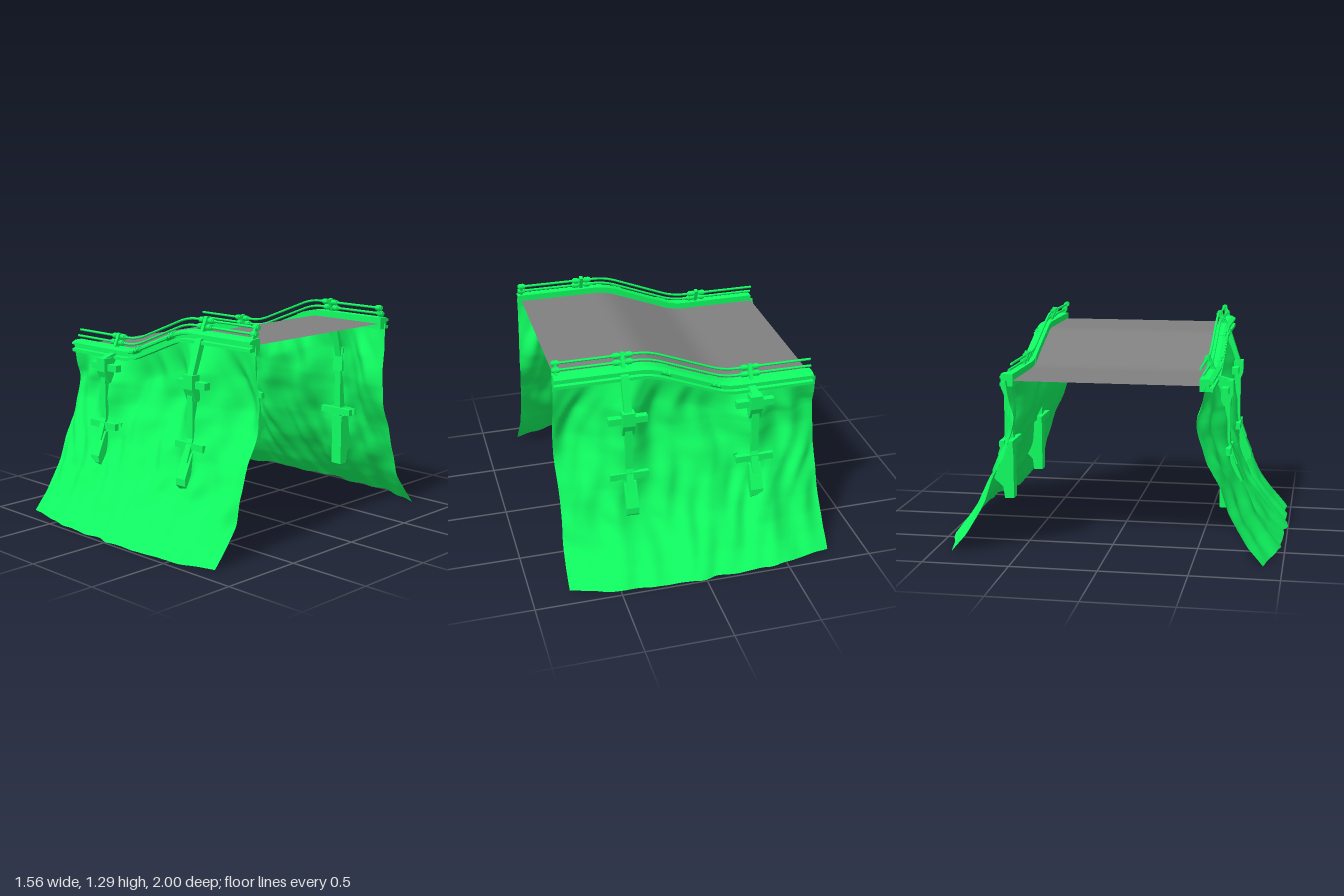
import * as THREE from 'three';

const green = new THREE.MeshStandardMaterial({ color: 0x10ff62 });
const rock = new THREE.MeshStandardMaterial({ color: 0x10ff62, side: THREE.DoubleSide });
const grey = new THREE.MeshStandardMaterial({ color: 0x808080, side: THREE.DoubleSide });

// Height of the ramp above its low end: flat, sloped, flat, with rounded bends
const soft = (x, e = 0.07) => (x < -e ? 0 : x > e ? x : (x + e) ** 2 / (4 * e));
const rise = (x) => 0.398 * (soft(x + 0.22) - soft(x - 0.22));

function mapVertices(geo, fn) {
  const p = geo.attributes.position;
  const v = new THREE.Vector3();
  for (let i = 0; i < p.count; i++) {
    fn(v.fromBufferAttribute(p, i));
    p.setXYZ(i, v.x, v.y, v.z);
  }
  geo.computeVertexNormals();
  return geo;
}
const bend = (geo) => mapVertices(geo, (v) => { v.y += rise(v.x); });

function add(parent, name, geo, material = green) {
  const mesh = new THREE.Mesh(geo, material);
  mesh.name = name;
  parent.add(mesh);
}

// Prism along x from a [z, y] outline
function prism(outline, x0, x1, steps = 1) {
  const shape = new THREE.Shape(outline.map(([z, y]) => new THREE.Vector2(-z, y)));
  const geo = new THREE.ExtrudeGeometry(shape, { depth: x1 - x0, steps, bevelEnabled: false });
  return geo.rotateY(Math.PI / 2).translate(x0, 0, 0);
}

function box(x, y, z, w, h, d) {
  return new THREE.BoxGeometry(w, h, d).translate(x, y, z);
}

function rod(r, x0, x1, y, z, segments = 1) {
  return new THREE.CylinderGeometry(r, r, x1 - x0, 10, segments)
    .rotateZ(Math.PI / 2).translate((x0 + x1) / 2, y, z);
}

// Cliff: a sheet flaring out towards its foot, bulging at the supports, with upright folds
function cliffGeometry() {
  const profile = [0.96, 0.875, 0.805, 0.745, 0.695, 0.65, 0.615, 0.585, 0.565, 0.56, 0.56, 0.56, 0.56];
  const base = (y) => {
    const f = THREE.MathUtils.clamp(y * 10, 0, 11.99);
    const i = Math.floor(f);
    return THREE.MathUtils.lerp(profile[i], profile[i + 1], f - i);
  };
  const S = Math.sin;
  const step = THREE.MathUtils.smoothstep;
  return mapVertices(new THREE.PlaneGeometry(1.55, 1, 100, 80), (v) => {
    const t = v.y + 0.5;
    const x = v.x;
    const y = t * (1.0 + rise(x));
    // near = 1 beside a support
    const near = Math.exp(-(((Math.abs(x) - 0.37) / 0.13) ** 2));
    const bulge = near * (0.045 * step(y, 0.4, 0.6) + 0.03 * step(y, 0.6, 0.75))
      - 0.022 * (1 - near) * step(y, 0.5, 0.75);
    const wx = x + 0.05 * S(5 * y + 3 * x) + 0.02 * S(11 * y + 1);
    const wy = y + 0.07 * S(6 * x + 1);
    const ripple = 0.014 * S(13 * wx + 2 * wy + 0.6) + 0.012 * S(23 * wx - 5 * wy)
      + 0.008 * S(11 * wy + 4 * x) + 0.01 * (0.6 - Math.abs(S(14 * wx + 4 * wy + 2)))
      + 0.005 * S(37 * wx + 13 * wy) + 0.003 * S(29 * wy - 17 * wx) + 0.003 * S(53 * wx + 9 * wy);
    const fade = (0.4 + 0.6 * Math.min(1, t * 4)) * (1 - 0.6 * near * step(y, 0.35, 0.55));
    const foot = (1 - t) ** 2 * (0.025 - 0.1 * Math.abs(x / 0.78) ** 3);
    v.z = base(y) + foot + (ripple * fade + bulge) * Math.min(1, (1 - t) * 6);
    v.y = y + 0.006 * (1 + S(23 * x) * S(9 * x)) * (1 - t);
    v.x = x + 0.005 * (x / 0.775) * S(9 * y + 1);
  });
}

// Support fixed to the cliff below the beam
function addSupport(side, x) {
  const support = new THREE.Group();
  support.name = 'support';
  side.add(support);
  const h = rise(x);
  add(support, 'strut', prism(
    [[0.615, 0.92], [0.665, 0.95], [0.665, 0.98], [0.6, 1.0 + h], [0.555, 1.0 + h]], x - 0.022, x + 0.022));
  add(support, 'bracket', prism(
    [[0.61, 0.83], [0.655, 0.83], [0.684, 0.9], [0.684, 0.98], [0.62, 0.98]], x - 0.036, x + 0.036));
  add(support, 'column', box(x, 0.66, 0.643, 0.042, 0.52, 0.052));
  add(support, 'columnToe', prism(
    [[0.63, 0.48], [0.715, 0.49], [0.668, 0.62], [0.63, 0.62]], x - 0.021, x + 0.021));
  add(support, 'foot', prism(
    [[0.615, 0.23], [0.67, 0.23], [0.68, 0.3], [0.745, 0.36], [0.745, 0.4], [0.685, 0.54], [0.615, 0.54]],
    x - 0.037, x + 0.037));
  add(support, 'upperCrossbar', box(x, 0.925, 0.642, 0.225, 0.04, 0.04));
  for (const z of [0.612, 0.665]) add(support, 'lowerCrossbar', box(x, 0.575, z, 0.225, 0.04, 0.028));
}

const RAILS = [[1.095, 0.53], [1.06, 0.545]];

function addClamps(side, x) {
  for (const [y, z] of RAILS) {
    add(side, 'railClamp', rod(0.017, x - 0.014, x + 0.014, y + rise(x), z));
    add(side, 'railClampCollar', rod(0.013, x - 0.021, x + 0.021, y + rise(x), z));
  }
}

function buildSide() {
  const side = new THREE.Group();
  add(side, 'cliff', cliffGeometry(), rock);

  // Edge beam with a channel on its outer face
  add(side, 'edgeBeam', bend(prism(
    [[0.525, -0.032], [0.6, -0.032], [0.6, -0.014], [0.58, -0.01], [0.58, 0.008], [0.6, 0.012],
      [0.6, 0.024], [0.575, 0.037], [0.525, 0.037]].map(([z, y]) => [z, y + 1]), -0.745, 0.765, 60)));

  // Handrails and their posts
  for (const [y, z] of RAILS) add(side, 'handrail', bend(rod(0.0075, -0.745, 0.765, y, z, 60)));
  for (const x of [-0.375, 0.37]) {
    const h = 1 + rise(x);
    add(side, 'railPost', prism(
      [[0.545, h + 0.03], [0.58, h + 0.03], [0.565, h + 0.065], [0.54, h + 0.118], [0.515, h + 0.11]],
      x - 0.01, x + 0.01));
    addClamps(side, x - 0.035);
    addClamps(side, x + 0.035);
    addSupport(side, x);
  }
  addClamps(side, 0.745);
  const endY = 1 + rise(0.745);
  add(side, 'endPost', prism(
    [[0.54, endY + 0.03], [0.57, endY + 0.03], [0.54, endY + 0.105], [0.52, endY + 0.1]], 0.738, 0.752));

  // Joint plates with four bolts each
  for (const x of [-0.155, 0.135]) {
    add(side, 'jointPlate', bend(prism(
      [[0.523, 1.0], [0.59, 1.0], [0.603, 1.012], [0.603, 1.025], [0.576, 1.04], [0.523, 1.04]],
      x - 0.03, x + 0.03, 4)));
    for (const dx of [-0.014, 0.014]) {
      for (const [y, z] of [[1.018, 0.6], [1.034, 0.585]]) {
        add(side, 'bolt', new THREE.CylinderGeometry(0.006, 0.006, 0.018, 8)
          .rotateX(1.0).translate(x + dx, y + rise(x + dx), z));
      }
    }
  }
  return side;
}

export function createModel() {
  const model = new THREE.Group();
  model.name = 'rampBetweenCliffs';

  // Deck
  add(model, 'deck', bend(new THREE.PlaneGeometry(1.495, 1.06, 60, 1)
    .rotateX(-Math.PI / 2).translate(0, 1.0, 0)), grey);

  // Two mirrored sides
  const front = buildSide();
  front.name = 'frontSide';
  const back = buildSide();
  back.name = 'backSide';
  back.scale.z = -1;
  model.add(front, back);
  return model;
}
